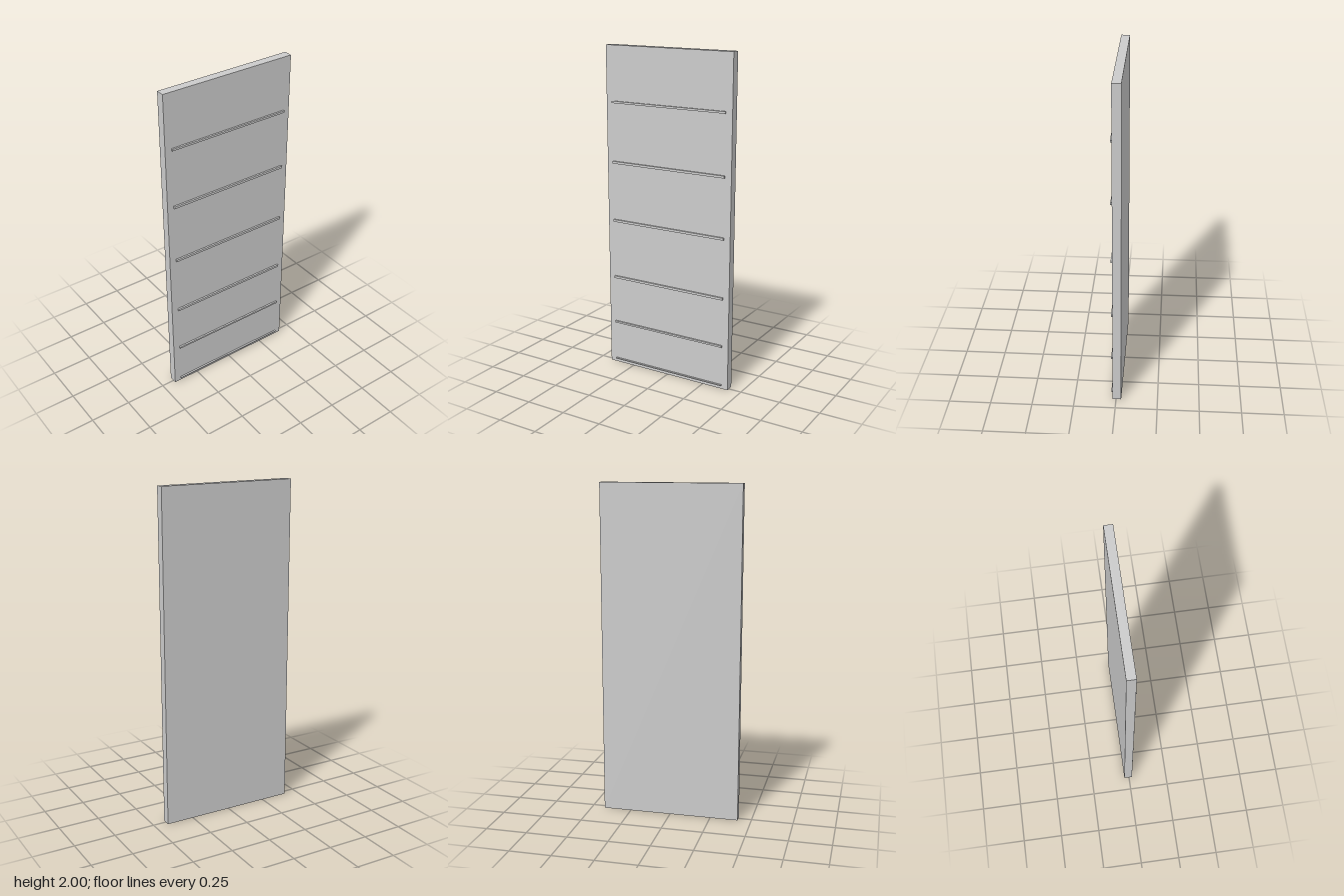
import * as THREE from 'three';

export function createModel() {
  const group = new THREE.Group();
  const material = new THREE.MeshStandardMaterial({ color: 0xcccccc });

  const addBox = (name, width, height, depth, y, z) => {
    const mesh = new THREE.Mesh(new THREE.BoxGeometry(width, height, depth), material);
    mesh.name = name;
    mesh.position.set(0, y, z);
    group.add(mesh);
  };

  // Flat slab standing upright
  addBox('panel', 0.838, 2, 0.051, 1, -0.0055);

  // Thin horizontal rails on the front face: [centre height, thickness]
  const rails = [
    [0.024, 0.006], [0.275, 0.011], [0.575, 0.014],
    [0.94, 0.014], [1.304, 0.014], [1.668, 0.012],
  ];
  rails.forEach(([y, h], i) => addBox(`rail${i + 1}`, 0.758, h, 0.011, y, 0.0255));

  return group;
}
